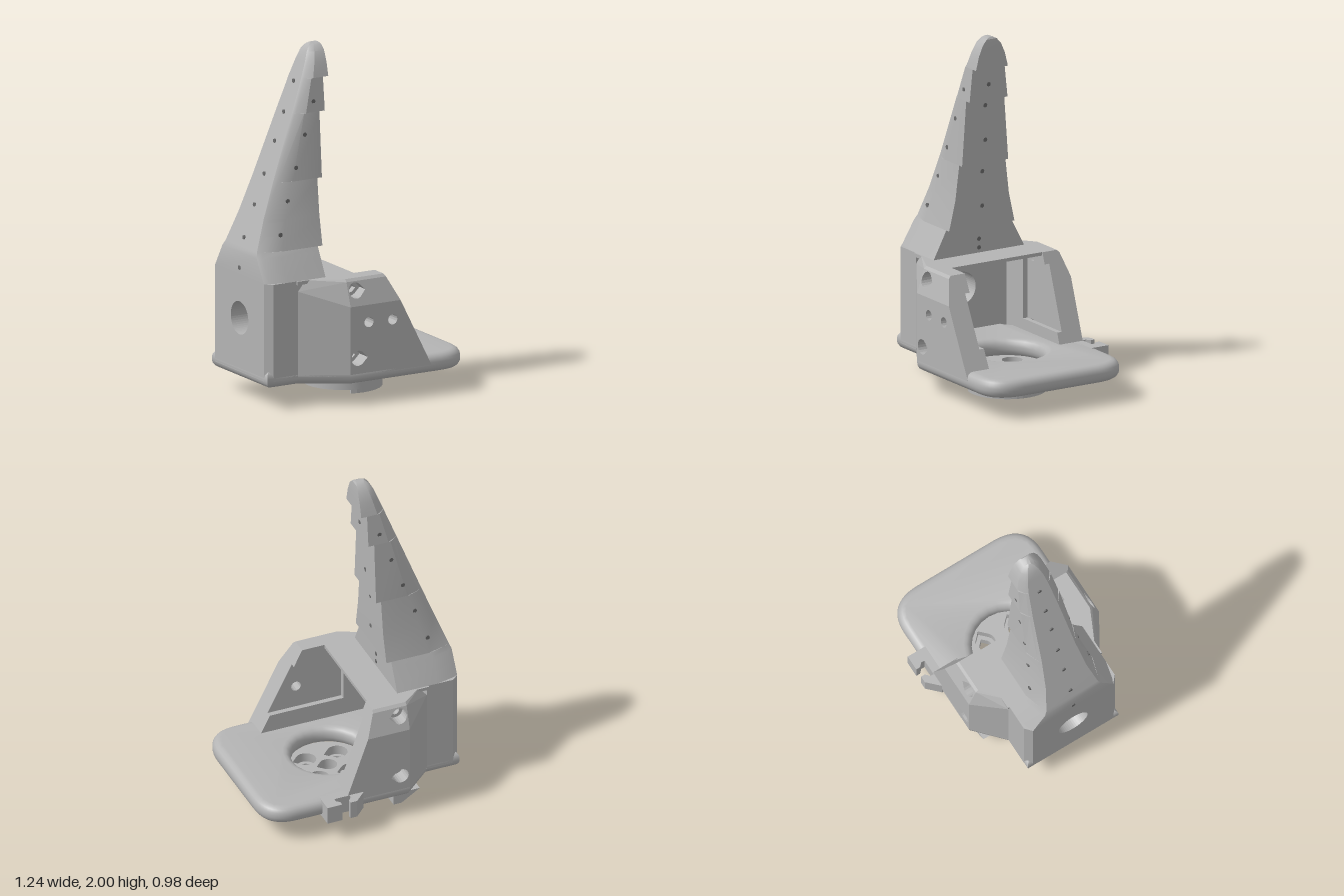
import * as THREE from 'three';
import { toCreasedNormals } from 'three/addons/utils/BufferGeometryUtils.js';
import { ConvexGeometry } from 'three/addons/geometries/ConvexGeometry.js';

const V = (x, y, z) => new THREE.Vector3(x, y, z);
const poly = (pts) => new THREE.Shape(pts.map(([x, y]) => new THREE.Vector2(x, y)));

// Round hole, or a teardrop with its tip toward +x
function hole(x, y, r, tip = true) {
  const pts = [], n = 14, a0 = tip ? Math.PI / 4 : 0;
  for (let i = 0; i <= n - (tip ? 0 : 1); i++) {
    const a = a0 + (i / n) * (Math.PI * 2 - 2 * a0);
    pts.push(new THREE.Vector2(x + r * Math.cos(a), y + r * Math.sin(a)));
  }
  if (tip) pts.push(new THREE.Vector2(x + r * 1.41, y));
  return new THREE.Path(pts);
}

const extrude = (shape, depth, opts = {}) =>
  new THREE.ExtrudeGeometry(shape, { depth, bevelEnabled: false, curveSegments: 12, ...opts });

// Horizontal slab from a plan drawn in x, z
const slab = (shape, y0, y1) => extrude(shape, y1 - y0).rotateX(Math.PI / 2).translate(0, y1, 0);

// Skin over closed rings from bottom to top, with a top cap
function loft(rings) {
  const p = [], n = rings[0].length;
  const tri = (...vs) => vs.forEach((v) => p.push(v.x, v.y, v.z));
  for (let i = 0; i < rings.length - 1; i++)
    for (let j = 0; j < n; j++) {
      const k = (j + 1) % n, a = rings[i], b = rings[i + 1];
      tri(a[j], b[j], a[k]);
      tri(a[k], b[j], b[k]);
    }
  const top = rings[rings.length - 1];
  for (let j = 1; j < n - 1; j++) tri(top[0], top[j + 1], top[j]);
  const g = new THREE.BufferGeometry();
  g.setAttribute('position', new THREE.Float32BufferAttribute(p, 3));
  g.computeVertexNormals();
  return toCreasedNormals(g, 0.45);
}

export function createModel() {
  const root = new THREE.Group();
  root.name = 'fingerBracket';
  const body = new THREE.Group();
  body.name = 'body';
  body.position.z = 0.035;
  root.add(body);
  const grey = new THREE.MeshStandardMaterial({ color: 0xb4b4b4 });
  grey.name = 'grey';
  const shade = new THREE.MeshStandardMaterial({ color: 0x6c6c6c });
  shade.name = 'hole grey';
  const add = (name, geo, mat = grey) => {
    const m = new THREE.Mesh(geo, mat);
    m.name = name;
    body.add(m);
    return m;
  };

  // Base plate with rounded rim and round recess
  const plan = poly([[-0.62, -0.3], [-0.42, -0.3], [-0.25, -0.455], [0.43, -0.455]]);
  plan.quadraticCurveTo(0.62, -0.455, 0.62, -0.25);
  plan.lineTo(0.62, 0.25);
  plan.quadraticCurveTo(0.62, 0.455, 0.43, 0.455);
  plan.lineTo(-0.17, 0.455);
  plan.lineTo(-0.42, 0.3);
  plan.lineTo(-0.62, 0.3);
  plan.holes.push(new THREE.Path().absarc(0.05, 0, 0.21, 0, Math.PI * 2, true));
  const plate = extrude(plan, 0.015, { bevelEnabled: true, bevelSize: 0.045, bevelThickness: 0.045, bevelOffset: -0.045, bevelSegments: 4 });
  add('basePlate', toCreasedNormals(plate.rotateX(Math.PI / 2).translate(0, 0.18, 0), 0.6));

  // Mounting boss: counterbored layer, drilled layer, crescent rim
  const boss = (y0, y1, r) => {
    const s = new THREE.Shape().absarc(0.05, 0, 0.225, 0, Math.PI * 2, false);
    s.holes.push(hole(0.05, 0, 0.05));
    for (const sx of [-1, 1]) for (const sz of [-1, 1]) s.holes.push(hole(0.05 + sx * 0.095, sz * 0.095, r));
    add('mountBoss', toCreasedNormals(extrude(s, y1 - y0, { curveSegments: 32 }).rotateX(Math.PI / 2).translate(0, y1, 0), 0.5));
  };
  boss(0.075, 0.13, 0.058);
  boss(0.022, 0.075, 0.035);
  const rim = new THREE.Shape();
  rim.absarc(0.05, 0, 0.225, -1.9, 1.9, false);
  rim.absarc(0.05, 0, 0.2, 1.9, -1.9, true);
  add('bossRim', slab(rim, 0, 0.022));

  // Cable clip on the edge and lug beneath the plate
  add('cableClip', slab(poly([[0.03, -0.455], [0.1, -0.525], [0.14, -0.525], [0.14, -0.5], [0.115, -0.48], [0.115, -0.458],
    [0.21, -0.458], [0.21, -0.48], [0.19, -0.5], [0.19, -0.525], [0.28, -0.525], [0.28, -0.4], [0.03, -0.4]]), 0.12, 0.225));
  add('underLug', extrude(poly([[-0.33, 0.125], [-0.22, 0.055], [-0.17, 0.055], [-0.17, 0.125]]), 0.11).translate(0, 0, -0.41));

  // Side walls with sloped front edges
  const sides = [
    { s: 1, x0: -0.17, top: 0.08, foot: 0.33, lo: 0.33, hi: 0.62 },
    { s: -1, x0: -0.25, top: -0.05, foot: 0.125, lo: 0.29, hi: 0.655 },
  ];
  for (const { s, x0, top, foot, lo, hi } of sides) {
    const front = (y) => top + ((0.72 - y) / 0.495) * (foot - top);
    // One wall layer; its outer face leans inward by lean over its height
    const layer = (name, y0, y1, zi, zo, holes = [], lean = 0) => {
      const shape = poly([[x0, y0], [front(y0), y0], [front(y1), y1], [x0, y1]]);
      shape.holes.push(...holes);
      const g = extrude(shape, zo - zi).translate(0, 0, s > 0 ? zi : -zo);
      const p = g.attributes.position;
      for (let i = 0; i < p.count; i++)
        if (Math.abs(p.getZ(i)) > zo - 1e-4) p.setZ(i, s * (zo - (lean * (p.getY(i) - y0)) / (y1 - y0)));
      g.computeVertexNormals();
      add(name, g);
    };
    const hx = x0 + 0.05;
    const extra = () => (s > 0 ? [hole(0.105, 0.465, 0.03, false)] : []);
    const blind = s > 0 ? [hole(-0.05, 0.47, 0.03, false)] : [];
    layer('sideWall', 0.17, 0.57, 0.365, 0.455, [hole(hx, 0.27, 0.044), ...extra(), ...blind]);
    layer('sideWallUpper', 0.57, 0.705, 0.365, 0.455, [hole(hx, 0.655, 0.044)], 0.045);
    layer('sideWallEdge', 0.705, 0.72, 0.365, 0.41, [], 0.015);
    layer('wallLiner', 0.17, 0.72, 0.33, 0.365, [hole(hx, 0.27, 0.024), hole(hx, 0.655, 0.024), ...extra()]);
    layer('lowerRail', 0.17, lo, 0.3, 0.33);
    layer('upperRail', hi, 0.72, 0.3, 0.33);
    // Tapered shoulder joining the wall to the rear block
    const pts = [];
    for (const [y, z] of [[0.17, 0.455], [0.57, 0.455], [0.705, 0.41], [0.72, 0.395]])
      pts.push(V(x0, y, s * z), V(x0, y, s * 0.3));
    pts.push(V(-0.42, 0.17, s * 0.3), V(-0.42, 0.66, s * 0.3), V(-0.37, 0.72, s * 0.3));
    add('shoulder', new ConvexGeometry(pts));
  }

  // Thin roof over the cavity
  add('roof', new THREE.BoxGeometry(0.375, 0.02, 0.62).translate(-0.2425, 0.71, 0));

  // Rear block with a round opening; the back slice has chamfered corners
  const block = (x0, x1, back) => {
    const s = poly([[-0.3, 0.16], [0.3, 0.16], [0.3, 0.72], [-0.3, 0.72]]);
    s.holes.push(new THREE.Path().absarc(0, 0.47, 0.095, 0, Math.PI * 2, true));
    const g = extrude(s, x1 - x0, { curveSegments: 24 }).rotateY(Math.PI / 2).translate(x0, 0, 0);
    const p = g.attributes.position;
    for (let i = 0; i < p.count; i++)
      if (p.getX(i) < x0 + 1e-4 && Math.abs(p.getZ(i)) > 0.2) p.setZ(i, Math.sign(p.getZ(i)) * back);
    g.computeVertexNormals();
    add('rearBlock', g);
  };
  block(-0.58, -0.42, 0.3);
  block(-0.62, -0.58, 0.265);

  // Tall stepped finger: y, front x, back x, half width, back width ratio
  const rows = [
    [0.72, -0.24, -0.62, 0.3, 0.88], [0.85, -0.24, -0.62, 0.232, 0.8], [0.88, -0.24, -0.609, 0.217, 0.78],
    [0.88, -0.21, -0.609, 0.217, 0.78], [1.05, -0.207, -0.545, 0.178, 0.75], [1.255, -0.205, -0.468, 0.153, 0.72],
    [1.255, -0.175, -0.468, 0.153, 0.72], [1.63, -0.175, -0.327, 0.126, 0.65], [1.63, -0.14, -0.327, 0.126, 0.65],
    [1.82, -0.14, -0.256, 0.106, 0.6], [1.82, -0.105, -0.256, 0.106, 0.6], [1.9, -0.105, -0.226, 0.086, 0.6],
    [1.96, -0.105, -0.203, 0.06, 0.6], [1.99, -0.108, -0.18, 0.033, 0.6], [2, -0.115, -0.165, 0.012, 0.6],
  ];
  add('finger', loft(rows.map(([y, xf, xb, w, k]) => {
    const d = xf - xb;
    const half = [[xf, w], [xb + 0.35 * d, w], [xb + 0.08 * d, w * (0.35 + 0.65 * k)], [xb, w * k]];
    return [...half.map(([x, z]) => V(x, y, z)), ...half.reverse().map(([x, z]) => V(x, y, -z))];
  })));

  // Small cord holes in the finger, shown as flush discs
  const at = (y, col) => {
    const i = Math.max(1, rows.findIndex((r) => r[0] >= y));
    const a = rows[i - 1], b = rows[i];
    return a[col] + ((b[col] - a[col]) * (y - a[0])) / (b[0] - a[0]);
  };
  for (let i = 0; i < 5; i++) {
    const y = 0.97 + i * 0.18, w = at(y, 3) + 0.001;
    for (const s of [-1, 1])
      add('sideCordHole', new THREE.CylinderGeometry(0.013, 0.013, 0.008, 8).rotateX(Math.PI / 2).translate(-0.47 + i * 0.065, y, s * (w - 0.004)), shade);
  }
  const disc = (name, x, y) =>
    add(name, new THREE.CylinderGeometry(0.013, 0.013, 0.008, 8).rotateZ(Math.PI / 2).translate(x, y, 0), shade);
  for (const y of [0.75, 0.8, 1, 1.2, 1.39, 1.59, 1.72]) disc('frontCordHole', at(y, 1) - 0.002, y);
  for (const y of [0.76, 0.93, 1.11, 1.28, 1.46, 1.62, 1.79]) disc('backCordHole', at(y, 2), y);

  return root;
}
